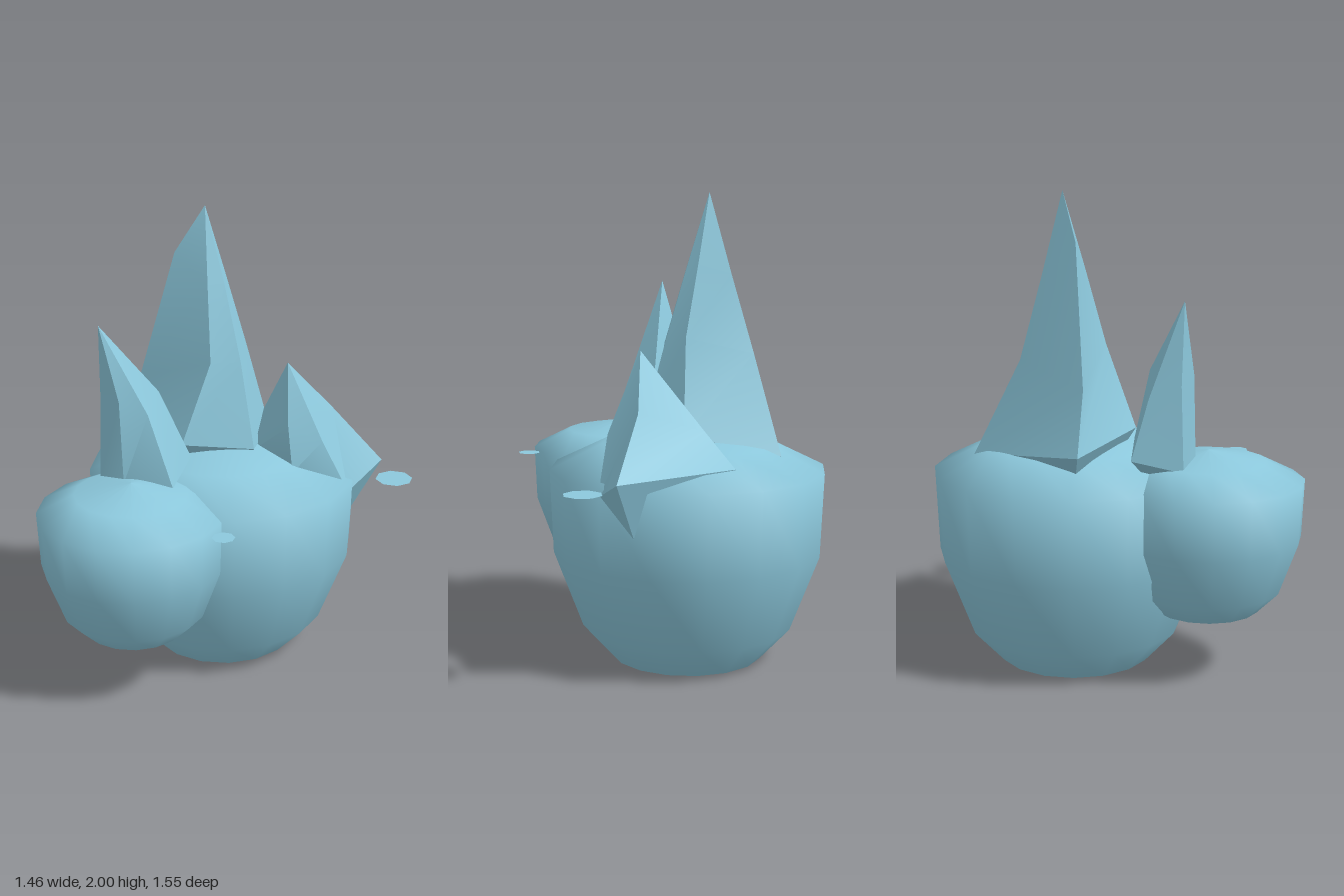
import * as THREE from 'three';
import { toCreasedNormals } from 'three/addons/utils/BufferGeometryUtils.js';

const paleBlue = new THREE.MeshStandardMaterial({ color: 0x8cc8dc, side: THREE.DoubleSide });

function add(group, name, geometry, x = 0, y = 0, z = 0) {
  const mesh = new THREE.Mesh(geometry, paleBlue);
  mesh.name = name;
  mesh.position.set(x, y, z);
  group.add(mesh);
  return mesh;
}

// Domed bowl with an open underside, turned from a [radius, y] profile
function bowl(profile) {
  return new THREE.LatheGeometry(profile.map(([r, y]) => new THREE.Vector2(r, y)), 16);
}

// Crystal: a tip, rings of corners from top to bottom (front, +x, back, -x), and a buried root
function crystal(tip, rings, root) {
  const pos = [];
  const tri = (...corners) => corners.forEach((c) => pos.push(...c));
  const n = rings[0].length;
  const last = rings[rings.length - 1];
  for (let i = 0; i < n; i++) {
    const j = (i + 1) % n;
    tri(rings[0][i], rings[0][j], tip);
    for (let k = 0; k + 1 < rings.length; k++) {
      const up = rings[k], low = rings[k + 1];
      tri(low[i], low[j], up[j]);
      tri(low[i], up[j], up[i]);
    }
    tri(last[j], last[i], root);
  }
  const geometry = new THREE.BufferGeometry();
  geometry.setAttribute('position', new THREE.Float32BufferAttribute(pos, 3));
  return toCreasedNormals(geometry, 0.6);
}

export function createModel() {
  const model = new THREE.Group();
  model.name = 'crystalCluster';

  // Bowls
  add(model, 'largeBowl', bowl([
    [0.325, 0], [0.455, 0.14], [0.58, 0.47], [0.595, 0.83], [0.37, 0.94], [0.17, 0.985], [0, 1.0],
  ]), -0.11, 0, -0.185);
  add(model, 'smallBowl', bowl([
    [0.22, 0.28], [0.31, 0.37], [0.39, 0.59], [0.4, 0.83], [0.24, 0.91], [0, 0.955],
  ]), -0.33, 0, 0.37);

  // Tall middle crystal
  add(model, 'tallCrystal', crystal([-0.2, 2, -0.225], [
    [[-0.16, 1.68, -0.135], [-0.1, 1.68, -0.18], [-0.11, 1.7, -0.235], [-0.245, 1.66, -0.31], [-0.32, 1.8, -0.17]],
    [[-0.12, 1.36, -0.05], [-0.01, 1.35, -0.13], [-0.02, 1.4, -0.24], [-0.29, 1.32, -0.4], [-0.48, 1.23, -0.14]],
    [[-0.21, 1.02, 0.075], [0.07, 0.98, -0.07], [0.07, 1.0, -0.3], [-0.21, 0.91, -0.6], [-0.64, 0.99, -0.16]],
  ], [-0.2, 0.6, -0.2]));

  // Thin crystal on the small bowl
  add(model, 'thinCrystal', crystal([-0.5, 1.59, 0.26], [
    [[-0.4, 1.28, 0.305], [-0.29, 1.22, 0.26], [-0.29, 1.28, 0.13], [-0.505, 1.2, 0.12], [-0.505, 1.25, 0.25]],
    [[-0.385, 0.92, 0.315], [-0.17, 0.92, 0.3], [-0.17, 0.97, 0.07], [-0.52, 0.95, 0.05], [-0.515, 0.9, 0.26]],
  ], [-0.34, 0.75, 0.2]));

  // Wide crystal leaning over the side
  add(model, 'leaningCrystal', crystal([0.19, 1.36, -0.165], [
    [[0.22, 1.1, -0.08], [0.36, 1.03, -0.13], [0.36, 1.13, -0.29], [0.07, 1.03, -0.41], [0.08, 1.13, -0.18]],
    [[0.25, 0.9, -0.05], [0.47, 0.79, -0.17], [0.575, 0.88, -0.355], [0.1, 0.9, -0.585], [0.05, 0.95, -0.13]],
  ], [0.32, 0.4, -0.32]));

  // Floating octagonal flakes
  for (const [name, r, x, z] of [['largeFlake', 0.081, 0.655, -0.25], ['smallFlake', 0.048, 0.127, 0.525]]) {
    add(model, name, new THREE.CircleGeometry(r, 8, Math.PI / 8), x, 0.845, z).rotation.x = -Math.PI / 2;
  }
  return model;
}
